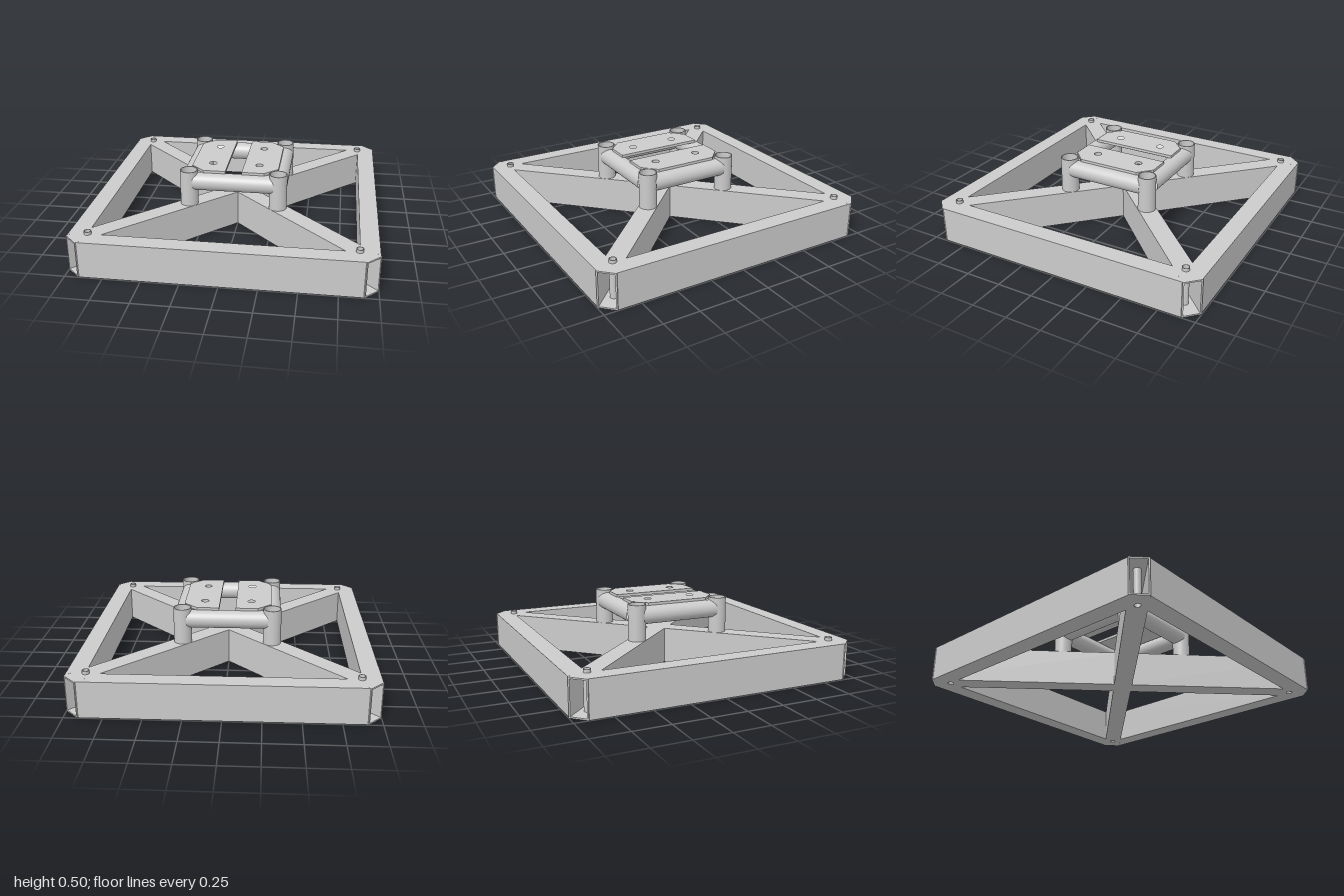
import * as THREE from 'three';

const H = 0.25;        // base frame height
const WALL = 0.01;     // tube wall thickness
const HALF = 0.064;    // half width of the diagonal beams
const POST = 0.31;     // post offset from the centre
const R = 0.062;       // post and rail radius
const BOLT = 1.227;    // spacer distance along the diagonal

export function createModel() {
  const model = new THREE.Group();
  const mat = new THREE.MeshStandardMaterial({ color: 0xcccccc });
  const thin = new THREE.MeshStandardMaterial({ color: 0xcccccc, side: THREE.DoubleSide });

  const add = (parent, name, geometry, material = mat) => {
    const mesh = new THREE.Mesh(geometry, material);
    mesh.name = name;
    parent.add(mesh);
    return mesh;
  };

  // Flat plate from an outline in plan (x, -z), with round holes [x, y, r]
  const plate = (points, y, thickness, holes = []) => {
    const shape = new THREE.Shape(points.map(([a, b]) => new THREE.Vector2(a, b)));
    for (const [a, b, r] of holes) {
      shape.holes.push(new THREE.Path().absarc(a, b, r, 0, Math.PI * 2, true));
    }
    const g = new THREE.ExtrudeGeometry(shape, { depth: thickness, bevelEnabled: false, curveSegments: 20 });
    return g.rotateX(-Math.PI / 2).translate(0, y, 0);
  };

  // Open upright pipe with a visible wall
  const pipe = (outer, inner, y0, y1) => new THREE.LatheGeometry([
    [inner, y0], [outer, y0], [outer, y0], [outer, y1], [outer, y1],
    [inner, y1], [inner, y1], [inner, y0],
  ].map(([r, y]) => new THREE.Vector2(r, y)), 32);

  // Hollow rectangular beam along x, drilled for the spacers
  const diagonal = (angle, x0, x1, drilled) => {
    const beam = new THREE.Group();
    beam.name = 'diagonalBeam';
    beam.rotation.y = angle;
    const outline = [[x0, -HALF], [x1, -HALF], [x1, HALF], [x0, HALF]];
    const holes = drilled.map((x) => [x, 0, 0.022]);
    add(beam, 'beamBottom', plate(outline, 0, WALL, holes));
    add(beam, 'beamTop', plate(outline, H - WALL, WALL, holes));
    for (const s of [-1, 1]) {
      add(beam, 'beamSide', new THREE.BoxGeometry(x1 - x0, H - 2 * WALL, WALL))
        .position.set((x0 + x1) / 2, H / 2, s * (HALF - WALL / 2));
    }
    for (const x of drilled) {
      add(beam, 'cornerSpacer', pipe(0.024, 0.02, 0.002, 0.272)).position.x = x;
    }
    model.add(beam);
  };
  diagonal(Math.PI / 4, -1.35, 1.35, [-BOLT, BOLT]);
  diagonal(-Math.PI / 4, HALF, 1.35, [BOLT]);
  diagonal(-Math.PI / 4, -1.35, -HALF, [-BOLT]);

  // Mitred side beam and coped rail, repeated on all four sides
  const railGeometry = () => {
    const g = new THREE.CylinderGeometry(R, R, 1, 32, 1, true);
    g.rotateZ(Math.PI / 2);
    const p = g.attributes.position;
    for (let i = 0; i < p.count; i++) {
      const z = p.getZ(i);
      const saddle = Math.max(0.03, Math.sqrt(Math.max(0, R * R - z * z)));
      p.setX(i, Math.sign(p.getX(i)) * (POST - saddle));
    }
    return g.translate(0, 0.418, POST);
  };
  for (let i = 0; i < 4; i++) {
    const side = new THREE.Group();
    side.name = 'frameSide';
    side.rotation.y = i * Math.PI / 2;
    add(side, 'sideBeam', plate([[-0.904, -0.995], [0.904, -0.995], [0.78, -0.87], [-0.78, -0.87]], 0, H));
    add(side, 'rail', railGeometry(), thin);
    add(side, 'post', pipe(R, R - 0.007, H, 0.5)).position.set(POST, 0, POST);
    model.add(side);
  }

  // Pair of mounting plates with clipped outer corners
  for (const s of [-1, 1]) {
    const outline = [[0.057, -0.308], [0.21, -0.308], [0.303, -0.22],
      [0.303, 0.22], [0.21, 0.308], [0.057, 0.308]].map(([x, y]) => [s * x, y]);
    add(model, 'mountingPlate', plate(outline, 0.478, 0.02,
      [[s * 0.164, -0.164, 0.026], [s * 0.164, 0.164, 0.026]]));
  }
  return model;
}
